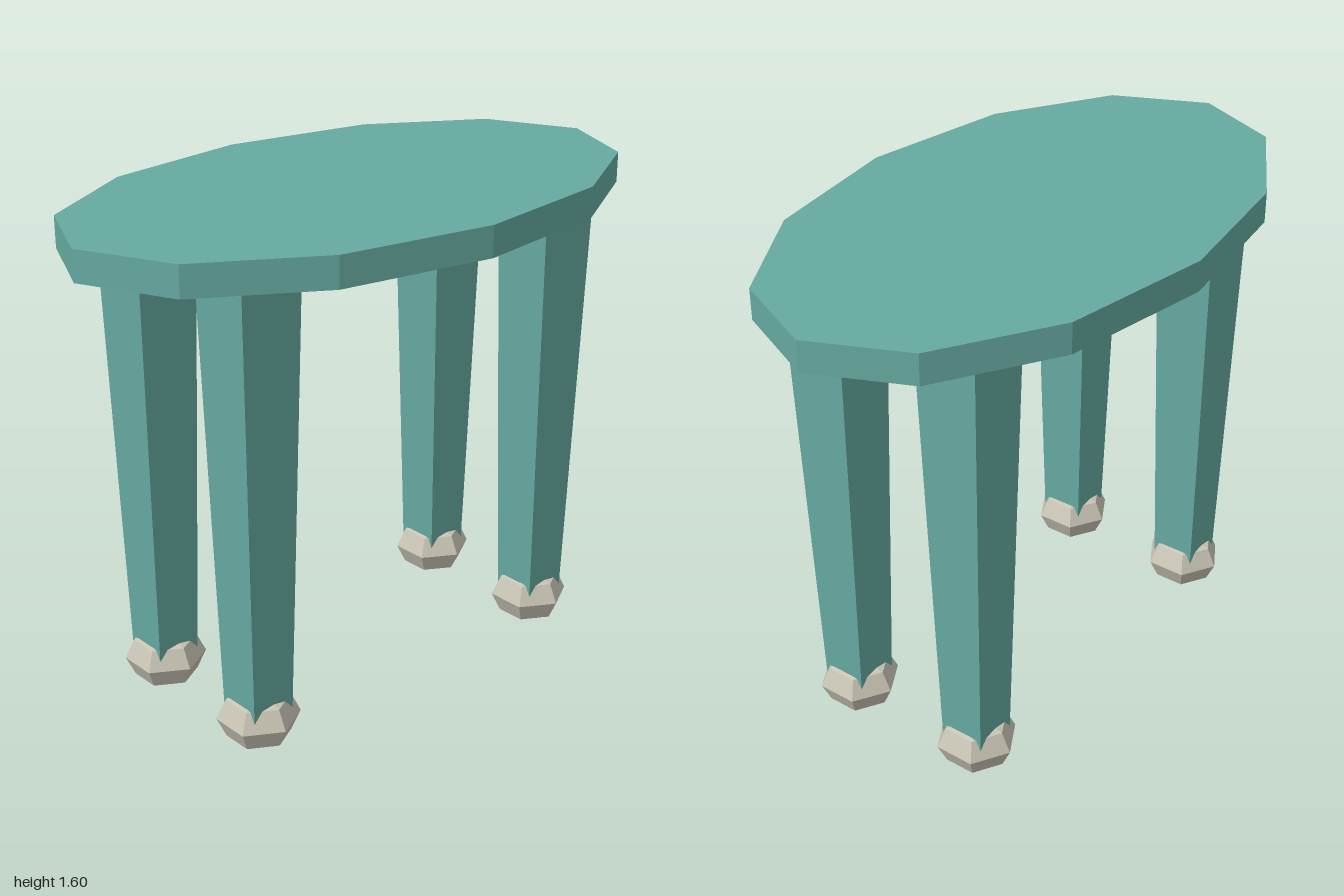
import * as THREE from 'three';

export function createModel() {
  const paint = new THREE.MeshStandardMaterial({ color: 0x66aaa0, flatShading: true });
  paint.name = 'teal paint';
  const stone = new THREE.MeshStandardMaterial({ color: 0xc8c4b4, flatShading: true });
  stone.name = 'pale stone';

  const table = new THREE.Group();
  table.name = 'table';

  function add(name, geometry, material, x, y, z) {
    const mesh = new THREE.Mesh(geometry, material);
    mesh.name = name;
    mesh.position.set(x, y, z);
    table.add(mesh);
  }

  // Twelve-sided oval top
  const topGeometry = new THREE.CylinderGeometry(1, 1, 0.097, 12).scale(1, 1, 0.593);
  add('tableTop', topGeometry, paint, 0, 1.5515, 0);

  // Square tapered leg, its lower end sunk into the foot
  const legBottom = 0.09, legTop = 1.503;
  const legGeometry = new THREE.CylinderGeometry(0.105 * Math.SQRT2, 0.073 * Math.SQRT2, legTop - legBottom, 4)
    .rotateY(Math.PI / 4);

  // Six-sided faceted ball foot
  const footProfile = [[0, 0], [0.1, 0.027], [0.13, 0.09], [0.1, 0.153], [0, 0.18]]
    .map(([r, y]) => new THREE.Vector2(r, y));
  const footGeometry = new THREE.LatheGeometry(footProfile, 6);

  for (const [sideName, x] of [['Left', 0.595], ['Right', -0.595]]) {
    for (const [endName, z] of [['front', 0.24], ['back', -0.24]]) {
      add(`${endName}${sideName}Leg`, legGeometry, paint, x, (legBottom + legTop) / 2, z);
      add(`${endName}${sideName}Foot`, footGeometry, stone, x, 0, z);
    }
  }
  return table;
}
